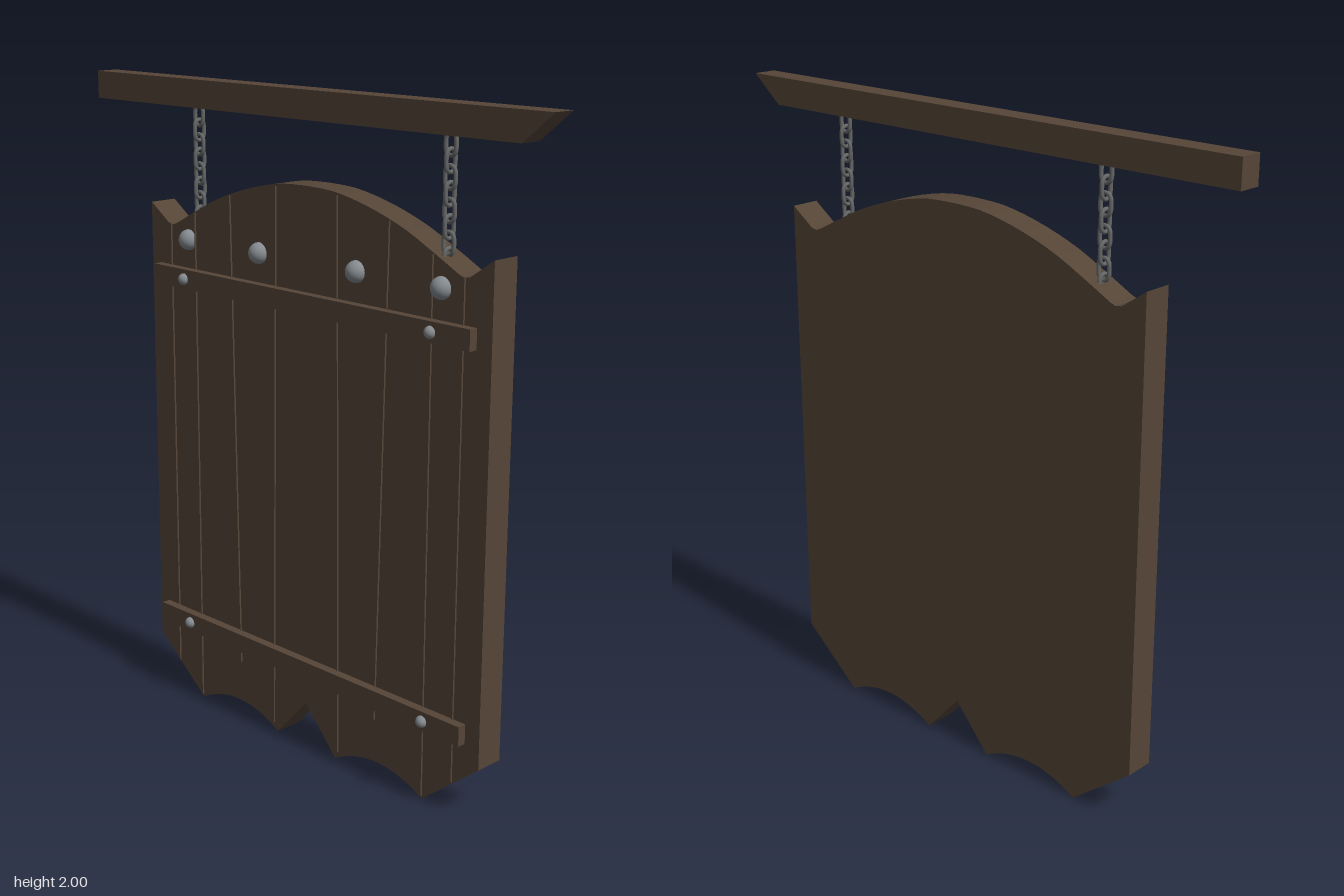
import * as THREE from 'three';

const material = (name, color) => {
  const m = new THREE.MeshStandardMaterial({ color });
  m.name = name;
  return m;
};

export function createModel() {
  const model = new THREE.Group();
  const wood = material('dark wood', 0x554537);
  const steel = material('stud steel', 0x858b90);
  const iron = material('chain iron', 0x666767);
  const CX = 0.048;        // the board hangs slightly off centre
  const BACK = -0.068, FACE = 0.024, FRONT = 0.03;

  const add = (name, geometry, mat, x = 0, y = 0, z = 0, parent = model) => {
    const mesh = new THREE.Mesh(geometry, mat);
    mesh.name = name;
    mesh.position.set(x, y, z);
    parent.add(mesh);
    return mesh;
  };
  const extrude = (shape, depth) =>
    new THREE.ExtrudeGeometry(shape, { depth, bevelEnabled: false, curveSegments: 10 });

  // Beam with one end cut at a slant
  const beam = new THREE.Shape();
  beam.moveTo(-0.905, 1.916);
  beam.lineTo(0.8, 1.916);
  beam.lineTo(0.902, 2);
  beam.lineTo(-0.905, 2);
  add('beam', extrude(beam, 0.072), wood, 0, 0, -0.058);

  // Board outline: scalloped foot, arched top, pointed ears; half of it, mirrored
  const arch = new THREE.SplineCurve([
    [0, 1.735], [0.11, 1.73], [0.24, 1.703], [0.37, 1.66], [0.48, 1.608], [0.57, 1.562],
  ].map(p => new THREE.Vector2(...p))).getPoints(16);
  const scallop = new THREE.QuadraticBezierCurve(
    new THREE.Vector2(0.48, 0.004), new THREE.Vector2(0.303, 0.104), new THREE.Vector2(0.126, 0.004),
  ).getPoints(12);
  const half = [
    ...arch,
    new THREE.Vector2(0.588, 1.556), new THREE.Vector2(0.608, 1.56),
    new THREE.Vector2(0.688, 1.615), new THREE.Vector2(0.688, 0.172),
    ...scallop,
    new THREE.Vector2(0, 0.145),
  ];
  const mirrored = half.slice(1, -1).reverse().map(p => new THREE.Vector2(-p.x, p.y));
  add('board', extrude(new THREE.Shape([...half, ...mirrored]), FACE - BACK), wood, CX, 0, BACK);

  // Thin raised plank seams: [top x, top y, bottom x, bottom y]
  const seams = [
    [0.124, 1.722, 0.14, 0.03], [0.322, 1.675, 0.29, 0.19],
    [0.48, 1.605, 0.48, 0.015], [0.592, 1.558, 0.592, 0.1],
  ];
  for (const side of [-1, 1]) {
    for (const [x1, y1, x2, y2] of seams) {
      const w = 0.001;
      const seam = new THREE.Shape([
        [side * x1 - w, y1], [side * x2 - w, y2], [side * x2 + w, y2], [side * x1 + w, y1],
      ].map(p => new THREE.Vector2(...p)));
      add('plankSeam', extrude(seam, FRONT - FACE + 0.002), wood, CX, 0, FACE - 0.002);
    }
  }

  // Cross straps with a stud near each end
  for (const y of [1.4, 0.266]) {
    add('strap', new THREE.BoxGeometry(1.284, 0.06, 0.03), wood, 0.042, y, 0.037);
    for (const x of [-0.46, 0.546]) {
      add('strapStud', new THREE.SphereGeometry(0.018, 16, 12), steel, x, y, 0.052);
    }
  }

  // Row of large domed studs
  for (const x of [-0.464, -0.15, 0.246, 0.56]) {
    add('domeStud', new THREE.SphereGeometry(0.032, 20, 14), steel, x, 1.518, 0.025);
  }

  // Chains of oval links, every other one turned a quarter
  class Oval extends THREE.Curve {
    getPoint(t, target = new THREE.Vector3()) {
      const a = t * Math.PI * 2, s = Math.sin(a);
      return target.set(Math.cos(a) * 0.018, s * 0.018 + Math.tanh(s * 4) * 0.013, 0);
    }
  }
  const link = new THREE.TubeGeometry(new Oval(), 24, 0.0062, 8, true);
  for (const x of [-0.455, 0.545]) {
    const chain = new THREE.Group();
    chain.name = 'chain';
    for (let i = 0; i < 8; i++) {
      const mesh = add('chainLink', link, iron, x, 1.892 - i * 0.0437, -0.016, chain);
      mesh.rotation.y = (i % 2) * Math.PI / 2;
    }
    model.add(chain);
  }
  return model;
}
